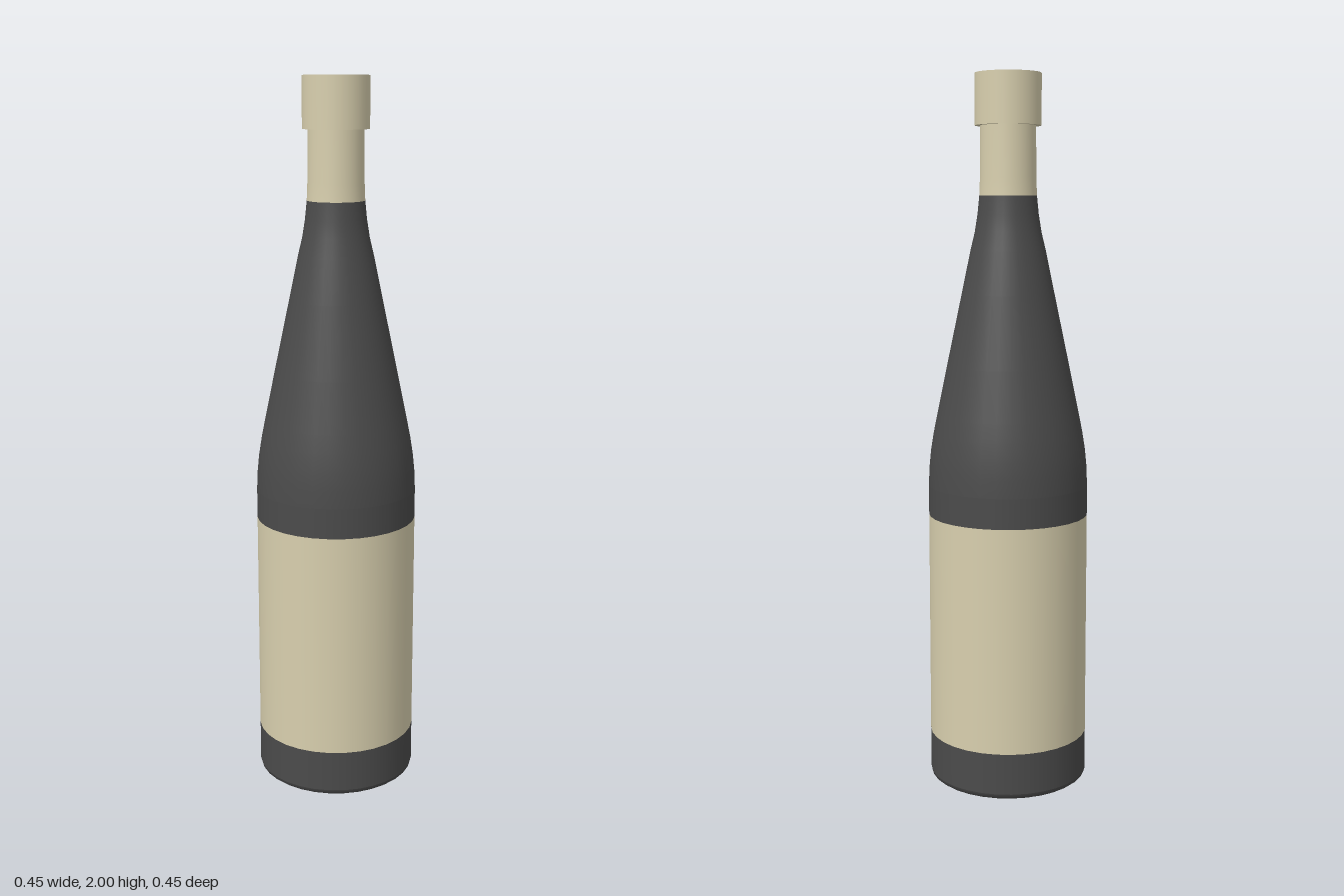
import * as THREE from 'three';

export function createModel() {
  const model = new THREE.Group();
  const dark = new THREE.MeshStandardMaterial({ color: 0x4b4b4b });
  dark.name = 'darkGlass';
  const cream = new THREE.MeshStandardMaterial({ color: 0xd8cfae });
  cream.name = 'creamPaper';

  // Profiles are [radius, height], running from the bottom up
  function turn(name, profile, material) {
    const points = profile.map(([r, y]) => new THREE.Vector2(r, y));
    const mesh = new THREE.Mesh(new THREE.LatheGeometry(points, 32), material);
    mesh.name = name;
    model.add(mesh);
  }

  // Hollow underside and rounded foot
  turn('punt', [[0, 0.07], [0.05, 0.066], [0.1, 0.053], [0.15, 0.032], [0.185, 0.01], [0.2, 0]], dark);
  turn('foot', [[0.2, 0], [0.215, 0.002], [0.223, 0.008], [0.226, 0.018]], dark);

  // Straight body with a flush wrap-around label
  turn('lowerBody', [[0.226, 0.018], [0.226, 0.135]], dark);
  turn('label', [[0.226, 0.135], [0.226, 0.775]], cream);
  turn('upperBody', [[0.226, 0.775], [0.226, 0.86]], dark);

  // Long sloping shoulder
  turn('shoulder', [
    [0.226, 0.86], [0.224, 0.91], [0.219, 0.96], [0.211, 1.01], [0.201, 1.06],
    [0.172, 1.2], [0.13, 1.4], [0.105, 1.52], [0.093, 1.57], [0.085, 1.62], [0.08, 1.67],
  ], dark);

  // Foil-wrapped neck
  turn('neck', [[0.08, 1.67], [0.078, 1.72], [0.077, 1.86]], cream);

  // Closed cap with a slight overhang
  const cap = new THREE.Mesh(new THREE.CylinderGeometry(0.092, 0.092, 0.14, 32), cream);
  cap.name = 'cap';
  cap.position.y = 1.93;
  model.add(cap);

  return model;
}
